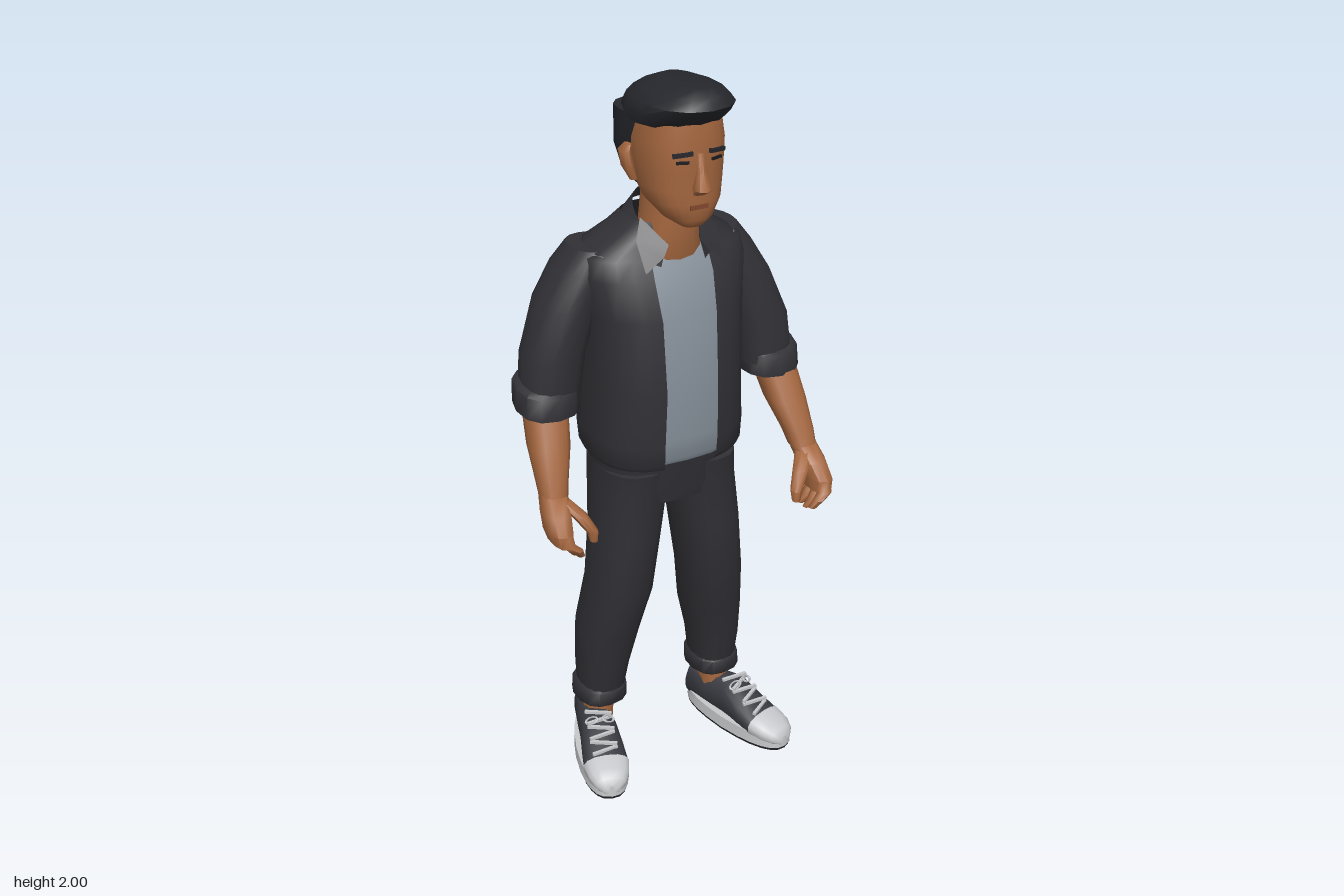
import * as THREE from 'three';
import { toCreasedNormals } from 'three/addons/utils/BufferGeometryUtils.js';

const mat = (name, color) => new THREE.MeshStandardMaterial({ name, color, side: THREE.DoubleSide });
const M = {
  skin: mat('skin', 0xa5673f), lip: mat('lip', 0x84492f), hair: mat('hair', 0x26272c),
  jacket: mat('jacket', 0x313136), shirt: mat('shirt', 0x86909a), pants: mat('pants', 0x303035),
  shoe: mat('shoe canvas', 0x3a3b41), rubber: mat('rubber', 0xc6c7ca), sole: mat('outsole', 0x1c1c1f),
};

// Ring stacked upward: [x, y, z, radiusX, radiusZ, tilt]
const fb = (y, rx, back, front, x = 0) => [x, y, (back + front) / 2, rx, (front - back) / 2];
const pw = (v, p) => Math.sign(v) * Math.abs(v) ** p;

// Skin a surface over superellipse rings; gap leaves the front open
function loft(rings, { n = 16, p = 0.85, gap = 0, crease = 0.9 } = {}) {
  const list = rings[0][1] > rings[rings.length - 1][1] ? [...rings].reverse() : rings;
  const cols = gap ? n + 1 : n, pos = [], idx = [];
  for (const [x, y, z, rx, rz, tilt = 0] of list)
    for (let i = 0; i < cols; i++) {
      const a = Math.PI / 2 + gap + (i / n) * (Math.PI * 2 - 2 * gap);
      const dz = rz * pw(Math.sin(a), p);
      pos.push(x + rx * pw(Math.cos(a), p), y + tilt * dz, z + dz);
    }
  for (let r = 0; r < list.length - 1; r++)
    for (let i = 0; i < n; i++) {
      const a = r * cols + i, b = r * cols + (i + 1) % cols;
      idx.push(a, a + cols, b, b, a + cols, b + cols);
    }
  if (!gap) {
    const top = (list.length - 1) * cols;
    for (let i = 1; i < n - 1; i++) idx.push(0, i, i + 1, top, top + i + 1, top + i);
  }
  const g = new THREE.BufferGeometry();
  g.setAttribute('position', new THREE.Float32BufferAttribute(pos, 3));
  g.setIndex(idx);
  return toCreasedNormals(g, crease);
}

function add(parent, name, geo, material, x = 0, y = 0, z = 0) {
  const m = new THREE.Mesh(geo, material);
  m.name = name;
  m.position.set(x, y, z);
  parent.add(m);
  return m;
}

function makeHead() {
  const g = new THREE.Group();
  g.name = 'head';
  add(g, 'neck', loft([[0, 1.48, -0.04, 0.1, 0.09], [0, 1.56, -0.01, 0.085, 0.082],
    [0, 1.62, 0, 0.074, 0.078], [0, 1.73, 0.01, 0.07, 0.07]]), M.skin);
  add(g, 'face', loft([fb(1.652, 0.03, 0.075, 0.145), fb(1.672, 0.06, 0.03, 0.157), fb(1.715, 0.092, -0.03, 0.16),
    fb(1.75, 0.1, -0.06, 0.16), fb(1.8, 0.105, -0.08, 0.164), fb(1.86, 0.108, -0.09, 0.166), fb(1.92, 0.1, -0.09, 0.16)],
  { n: 24, p: 0.8, crease: 1.2 }), M.skin);
  add(g, 'nose', loft([[0, 1.742, 0.162, 0.018, 0.012], [0, 1.757, 0.172, 0.024, 0.028],
    [0, 1.8, 0.165, 0.012, 0.016], [0, 1.845, 0.158, 0.01, 0.01]], { n: 8, p: 1 }), M.skin);
  add(g, 'mouth', new THREE.BoxGeometry(0.05, 0.012, 0.008), M.lip, 0, 1.708, 0.157);
  for (const s of [1, -1]) {
    const brow = add(g, 'brow', new THREE.BoxGeometry(0.05, 0.01, 0.009), M.hair, s * 0.047, 1.846, 0.16);
    brow.rotation.set(0, s * 0.33, -s * 0.1);
    const eye = add(g, 'eye', new THREE.BoxGeometry(0.032, 0.007, 0.008), M.sole, s * 0.046, 1.826, 0.158);
    eye.rotation.y = s * 0.33;
    add(g, 'ear', loft([[s * 0.108, 1.755, 0.02, 0.01, 0.012], [s * 0.118, 1.785, 0.01, 0.014, 0.025],
      [s * 0.122, 1.825, 0.002, 0.014, 0.026], [s * 0.115, 1.842, 0.005, 0.008, 0.016]], { n: 8, p: 1 }), M.skin);
  }
  // Short back and sides, then the swept top
  add(g, 'backHair', loft([fb(1.7, 0.045, -0.065, -0.02), fb(1.725, 0.072, -0.085, -0.01), fb(1.77, 0.098, -0.108, -0.012),
    fb(1.82, 0.113, -0.124, 0.015), fb(1.835, 0.115, -0.125, 0.04), fb(1.92, 0.12, -0.122, 0.06)],
  { n: 16, p: 0.75 }), M.hair);
  add(g, 'topHair', loft([fb(1.905, 0.117, -0.12, 0.15), fb(1.93, 0.123, -0.116, 0.182, 0.004),
    fb(1.96, 0.117, -0.1, 0.213, 0.004), fb(1.985, 0.088, -0.06, 0.198, 0.006), fb(2, 0.045, -0.02, 0.165, 0.01)],
  { n: 14, p: 0.9 }), M.hair);
  return g;
}

function makeTorso() {
  const g = new THREE.Group();
  g.name = 'torso';
  const body = [[0.975, 0.205, -0.228, 0.122], [0.99, 0.213, -0.232, 0.13], [1.05, 0.216, -0.242, 0.135],
    [1.2, 0.207, -0.236, 0.14], [1.4, 0.215, -0.226, 0.122], [1.5, 0.232, -0.215, 0.09],
    [1.55, 0.225, -0.198, 0.065], [1.6, 0.14, -0.16, 0.05], [1.64, 0.1, -0.128, 0.05]].map(r => fb(...r));
  add(g, 'jacketBody', loft(body, { n: 24, p: 0.75, gap: 0.26 }), M.jacket);
  add(g, 'tShirt', loft(body.slice(0, 7).map(([x, y, z, rx, rz]) => [x, y + 0.01, z, rx - 0.012, rz - 0.01]),
    { n: 24, p: 0.75 }), M.shirt);
  // Raised collar with a pointed leaf on each side
  add(g, 'collar', loft([[0, 1.592, -0.012, 0.122, 0.104, -0.62], [0, 1.645, 0, 0.088, 0.088, -0.62]],
    { n: 18, p: 0.9, gap: 0.5 }), M.jacket);
  for (const s of [1, -1]) {
    const leaf = new THREE.BufferGeometry().setFromPoints([[0.045, 1.592, 0.086], [0.062, 1.565, 0.094],
      [0.112, 1.528, 0.092], [0.115, 1.6, 0.045], [0.088, 1.65, 0.015]].map(v => new THREE.Vector3(s * v[0], v[1], v[2])));
    leaf.setIndex(s > 0 ? [0, 1, 3, 1, 2, 3, 0, 3, 4] : [0, 3, 1, 1, 3, 2, 0, 4, 3]);
    leaf.computeVertexNormals();
    add(g, 'collarLeaf', leaf, M.jacket);
  }
  add(g, 'hips', loft([fb(0.85, 0.185, -0.165, 0.08), fb(0.9, 0.198, -0.19, 0.088), fb(1.02, 0.197, -0.2, 0.1)],
    { n: 20, p: 0.8 }), M.pants);
  return g;
}

function makeArm(s) {
  const g = new THREE.Group();
  g.name = s > 0 ? 'leftArm' : 'rightArm';
  // The arm on -x hangs further back
  const shift = y => (s > 0 ? 0 : -0.045 * Math.min(1, (1.6 - y) / 0.4) - Math.max(0, 1.14 - y) * 0.1);
  const part = (name, rings, m, opt) => add(g, name,
    loft(rings.map(([x, y, z, ...r]) => [s * x, y, z + shift(y), ...r]), opt), m);
  part('sleeve', [[0.31, 1.17, -0.035, 0.078, 0.08], [0.295, 1.29, -0.05, 0.083, 0.088], [0.25, 1.42, -0.075, 0.08, 0.095],
    [0.205, 1.51, -0.085, 0.072, 0.09], [0.175, 1.565, -0.085, 0.06, 0.075]], M.jacket);
  part('sleeveCuff', [[0.32, 1.135, -0.03, 0.075, 0.078], [0.322, 1.145, -0.031, 0.085, 0.086, -0.15],
    [0.318, 1.205, -0.036, 0.085, 0.088, -0.15], [0.313, 1.215, -0.037, 0.078, 0.08, -0.15]], M.jacket, { n: 12 });
  part('forearm', [[0.362, 0.94, 0.105, 0.036, 0.042], [0.358, 0.98, 0.085, 0.042, 0.045], [0.345, 1.06, 0.035, 0.055, 0.058],
    [0.33, 1.17, -0.025, 0.06, 0.06]], M.skin, { n: 12 });
  part('palm', [[0.372, 0.835, 0.17, 0.026, 0.058], [0.375, 0.87, 0.162, 0.034, 0.06], [0.37, 0.91, 0.135, 0.037, 0.052],
    [0.362, 0.95, 0.1, 0.036, 0.042]], M.skin, { n: 10 });
  for (let i = 0; i < 4; i++) {
    const z = 0.214 - i * 0.03, end = 0.782 + 0.012 * Math.abs(i - 1.5);
    part('finger', [[0.333, end, z + 0.002, 0.011, 0.011], [0.348, end + 0.025, z + 0.01, 0.016, 0.016],
      [0.37, 0.84, z + 0.003, 0.02, 0.018], [0.372, 0.87, z - 0.008, 0.018, 0.016]], M.skin, { n: 8, p: 1 });
  }
  part('thumb', [[0.288, 0.825, 0.2, 0.011, 0.012], [0.291, 0.855, 0.195, 0.016, 0.018],
    [0.318, 0.9, 0.17, 0.021, 0.022], [0.35, 0.935, 0.13, 0.02, 0.024]], M.skin, { n: 8, p: 1 });
  return g;
}

function makeLeg(s) {
  const g = new THREE.Group();
  g.name = s > 0 ? 'leftLeg' : 'rightLeg';
  const shift = y => (s > 0 ? 0 : -0.022 * (1 - y));
  const part = (name, rings, m, opt) => add(g, name,
    loft(rings.map(([x, y, z, ...r]) => [s * x, y, z + shift(y), ...r]), opt), m);
  part('trouserLeg', [[0.18, 0.19, -0.068, 0.062, 0.075], [0.176, 0.3, -0.06, 0.072, 0.088], [0.162, 0.42, -0.052, 0.086, 0.098],
    [0.14, 0.57, -0.025, 0.086, 0.112], [0.122, 0.74, -0.026, 0.092, 0.116], [0.103, 0.89, -0.045, 0.098, 0.133],
    [0.1, 0.95, -0.045, 0.098, 0.14]], M.pants);
  part('trouserCuff', [[0.182, 0.163, -0.068, 0.066, 0.074], [0.182, 0.172, -0.068, 0.075, 0.084],
    [0.181, 0.214, -0.068, 0.073, 0.084], [0.181, 0.222, -0.068, 0.064, 0.076]], M.pants, { n: 14 });
  part('ankle', [[0.188, 0.1, -0.065, 0.042, 0.05], [0.183, 0.19, -0.066, 0.04, 0.046]], M.skin, { n: 10 });
  return g;
}

function makeShoe(s) {
  const g = new THREE.Group();
  g.name = s > 0 ? 'leftShoe' : 'rightShoe';
  // Flat outline layers, narrower at the heel
  const layer = (name, y0, y1, grow, m) => {
    const geo = loft([[0, y0, 0, 0.068 + grow, 0.192 + grow], [0, y1, 0, 0.066 + grow, 0.19 + grow]], { n: 24, p: 0.8, crease: 0.7 });
    const p = geo.attributes.position;
    for (let i = 0; i < p.count; i++) p.setX(i, p.getX(i) * (1 + 0.9 * Math.min(0, p.getZ(i))));
    add(g, name, geo, m);
  };
  layer('outsole', 0, 0.01, 0, M.sole);
  layer('midsole', 0.009, 0.044, 0.003, M.rubber);
  // Upper: cross-sections from heel to toe, as [along, top, half width]
  const along = rows => loft(rows.map(([d, top, w]) => [0, d, -(top + 0.015) / 2, w, (top - 0.015) / 2]), { n: 14 })
    .rotateX(Math.PI / 2);
  add(g, 'upper', along([[-0.186, 0.1, 0.034], [-0.168, 0.142, 0.046], [-0.09, 0.13, 0.05], [-0.02, 0.145, 0.054],
    [0.05, 0.108, 0.061], [0.11, 0.083, 0.065]]), M.shoe);
  add(g, 'toeCap', along([[0.105, 0.087, 0.067], [0.15, 0.075, 0.058], [0.178, 0.062, 0.043], [0.192, 0.045, 0.022]]), M.rubber);
  for (let i = 0; i < 6; i++) {
    const t = i / 5;
    const lace = add(g, 'lace', new THREE.BoxGeometry(0.078, 0.008, 0.009), M.rubber, 0, 0.148 - 0.056 * t, -0.015 + 0.105 * t);
    lace.rotation.y = i % 2 ? 0.3 : -0.3;
  }
  for (const k of [1, -1]) {
    const loop = add(g, 'laceLoop', new THREE.TorusGeometry(0.018, 0.004, 5, 10), M.rubber, k * 0.024, 0.142, 0.012);
    loop.rotation.set(-1.05, k * 0.4, 0);
    loop.scale.y = 0.6;
  }
  g.position.set(s > 0 ? 0.217 : -0.225, 0, s > 0 ? 0.035 : -0.002);
  g.rotation.y = s * 0.28;
  return g;
}

export function createModel() {
  const model = new THREE.Group();
  model.name = 'standingMan';
  model.add(makeHead(), makeTorso());
  for (const s of [1, -1]) model.add(makeArm(s), makeLeg(s), makeShoe(s));
  return model;
}
